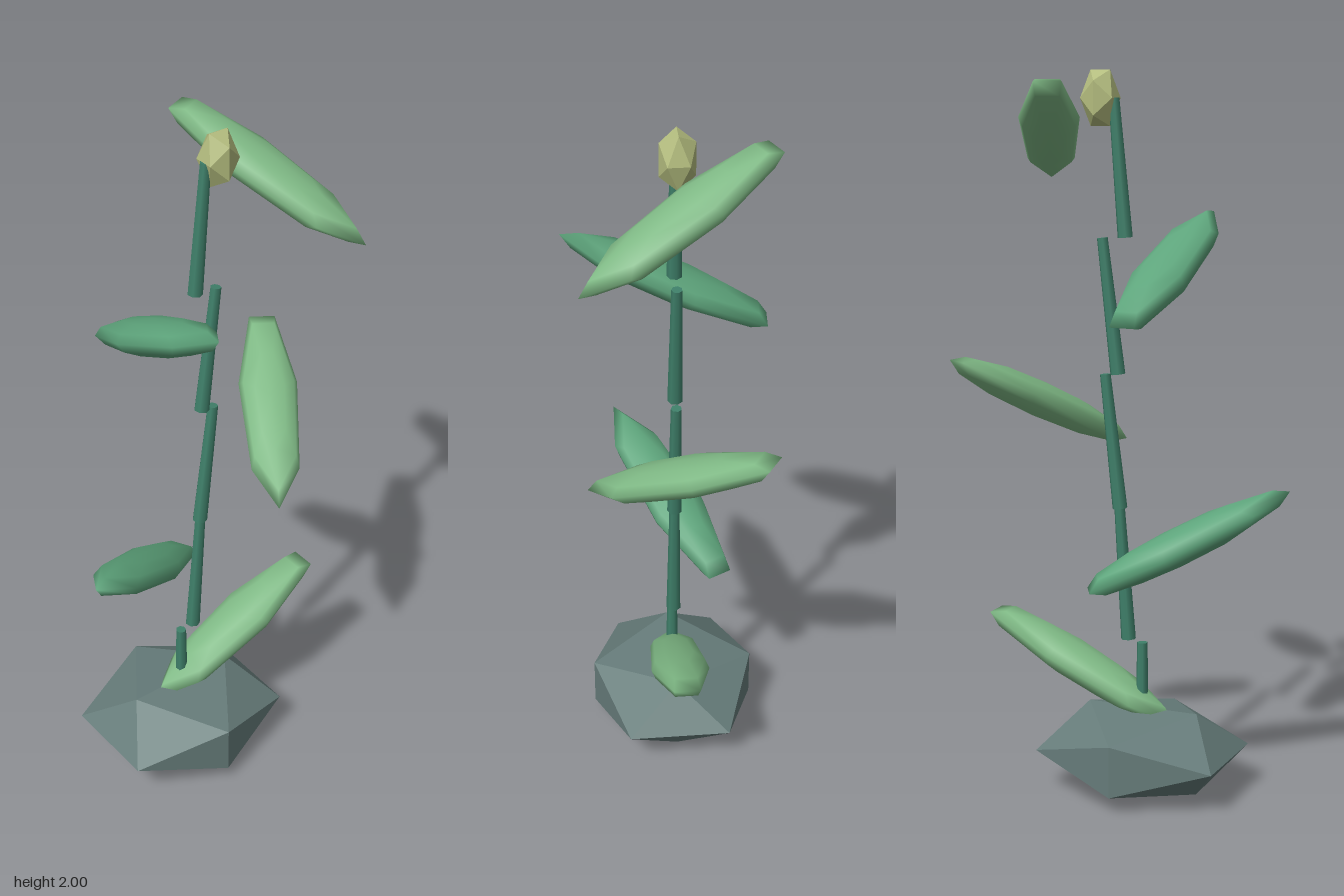
import * as THREE from 'three';

const Z = -0.013; // common depth of rock, stem and leaf centres

const material = (color, flatShading = false) =>
  new THREE.MeshStandardMaterial({ color, flatShading });

export function createModel() {
  const group = new THREE.Group();
  group.name = 'plant';

  const add = (name, geometry, mat, x, y) => {
    const mesh = new THREE.Mesh(geometry, mat);
    mesh.name = name;
    mesh.position.set(x, y, Z);
    group.add(mesh);
    return mesh;
  };

  // Faceted rock base
  add('rock', new THREE.IcosahedronGeometry(1, 0), material(0x667c7a, true), -0.055, 0.118)
    .scale.set(0.31, 0.138, 0.276);

  // Tapered stem segments: bottom x, bottom y, top x, top y
  const stemMat = material(0x3f806a);
  const up = new THREE.Vector3(0, 1, 0);
  [
    [-0.054, 0.05, -0.054, 0.424],
    [-0.012, 0.43, 0.015, 0.802],
    [0.014, 0.802, 0.058, 1.176],
    [0.02, 1.178, 0.066, 1.55],
    [-0.002, 1.553, 0.031, 1.925],
  ].forEach(([x0, y0, x1, y1], i) => {
    const dir = new THREE.Vector3(x1 - x0, y1 - y0, 0);
    const geometry = new THREE.CylinderGeometry(0.015, 0.021, dir.length(), 7);
    add('stemSegment' + (i + 1), geometry, stemMat, (x0 + x1) / 2, (y0 + y1) / 2)
      .quaternion.setFromUnitVectors(up, dir.normalize());
  });

  // Flattened leaves spiralling up the stem, tilted alternately
  const leafGeometry = new THREE.SphereGeometry(1, 7, 6);
  const leafMats = [material(0x7fb985), material(0x5ea57c)];
  [
    [0.141, 0.343],
    [-0.178, 0.719],
    [0.259, 1.093],
    [-0.125, 1.469],
    [0.223, 1.843],
  ].forEach(([x, y], i) => {
    const leaf = add('leaf' + (i + 1), leafGeometry, leafMats[i % 2], x, y);
    leaf.scale.set(0.325, 0.05, 0.085);
    leaf.rotation.set(0, i * 0.5, i % 2 ? -0.45 : 0.45);
  });

  // Bud at the tip
  add('bud', new THREE.IcosahedronGeometry(1, 0), material(0xb3bc7e, true), 0.071, 1.925)
    .scale.set(0.055, 0.088, 0.055);

  return group;
}
